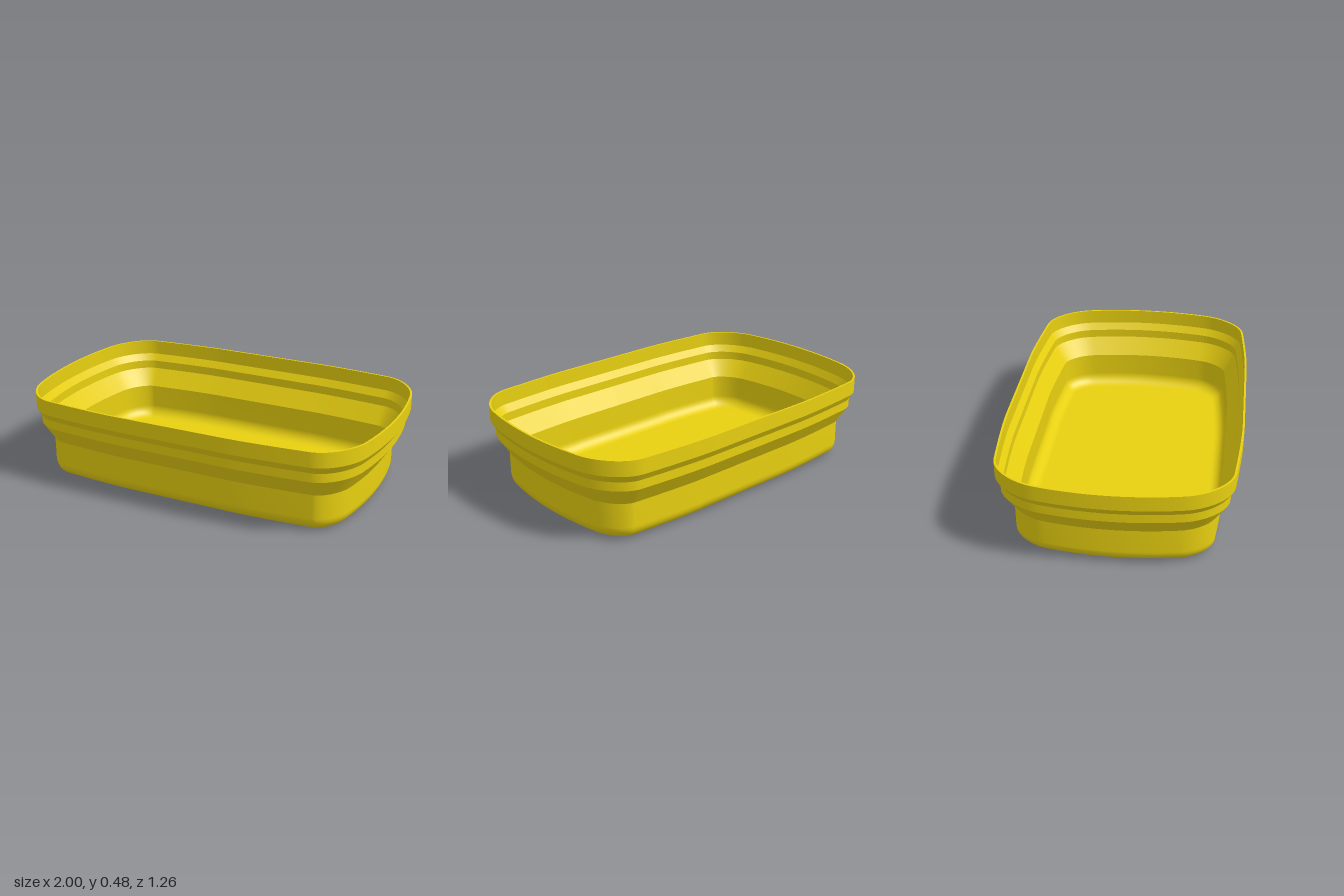
import * as THREE from 'three';

// Closed outline of the rim: one quarter, mirrored in x, then turned half round
function rimOutline() {
  const quarter = new THREE.Path()
    .moveTo(1, 0)
    .quadraticCurveTo(1, 0.18, 0.965, 0.36)
    .bezierCurveTo(0.941, 0.48, 0.845, 0.589, 0.75, 0.598)
    .quadraticCurveTo(0.45, 0.628, 0.3, 0.628)
    .lineTo(0, 0.628)
    .getPoints(14);
  const mirrored = quarter.slice(0, -1).reverse().map(p => new THREE.Vector2(-p.x, p.y));
  const half = [...quarter, ...mirrored].slice(0, -1);
  return [...half, ...half.map(p => p.clone().negate())];
}

// Smooth strip through rings given as [inset, y]; an inset of null is the centre point
function band(outline, rings, material) {
  const n = outline.length, pos = [], index = [];
  for (const [inset, y] of rings) {
    outline.forEach((p, i) => {
      if (inset === null) { pos.push(0, y, 0); return; }
      const t = outline[(i + 1) % n].clone().sub(outline[(i + n - 1) % n]).normalize();
      pos.push(p.x - t.y * inset, y, p.y + t.x * inset);
    });
  }
  for (let j = 0; j < rings.length - 1; j++) {
    for (let i = 0; i < n; i++) {
      const k = (i + 1) % n, a = j * n, b = a + n;
      index.push(a + i, a + k, b + i, a + k, b + k, b + i);
    }
  }
  const g = new THREE.BufferGeometry();
  g.setAttribute('position', new THREE.Float32BufferAttribute(pos, 3));
  g.setIndex(index);
  g.computeVertexNormals();
  return new THREE.Mesh(g, material);
}

// Wall foot, rounded edge and flat floor, from the wall down to the centre
function basin(inset, top, floor, radius) {
  const rings = [[inset, top]];
  for (let i = 0; i <= 8; i++) {
    const a = (i / 8) * Math.PI / 2;
    rings.push([inset + radius * (1 - Math.cos(a)), floor + radius * (1 - Math.sin(a))]);
  }
  rings.push([null, floor]);
  return rings;
}

export function createModel() {
  const model = new THREE.Group();
  model.name = 'openTray';
  const material = new THREE.MeshStandardMaterial({ color: 0xe8d010 });
  const outline = rimOutline();
  const wall = 0.011;
  const add = (name, rings) => {
    const mesh = band(outline, rings, material);
    mesh.name = name;
    model.add(mesh);
  };

  // Stepped side profile from the rim down, as [inset, y]
  const steps = [[0, 0.477], [0, 0.395], [0.025, 0.355], [0.025, 0.307], [0.089, 0.208]];
  const names = ['rimBand', 'upperStep', 'middleBand', 'slopedShoulder'];
  names.forEach((name, i) => {
    const a = steps[i], b = steps[i + 1];
    add(name + 'Outer', [a, b]);
    add(name + 'Inner', [[b[0] + wall, b[1]], [a[0] + wall, a[1]]]);
  });

  // Rim edge
  add('rimEdge', [[wall, 0.477], [0, 0.477]]);

  // Lower basin, outside and inside
  add('basinOuter', basin(0.089, 0.208, 0, 0.075));
  add('basinInner', basin(0.089 + wall, 0.208, wall, 0.066).reverse());

  return model;
}
